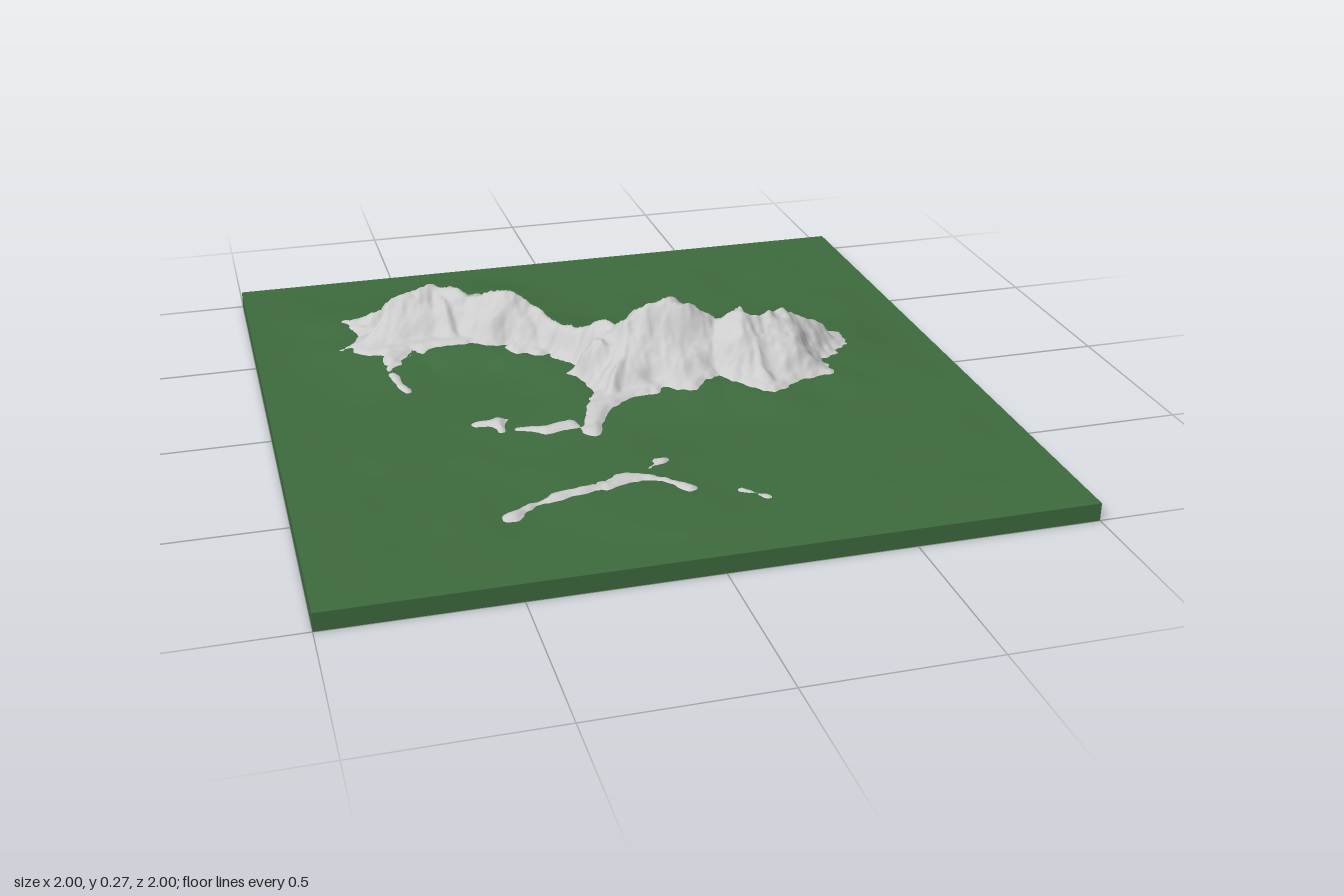
import * as THREE from 'three';

// Outline of the main mountain range (x, z pairs)
const OUTLINE = [
  -0.71, -0.63, -0.6, -0.66, -0.48, -0.68, -0.36, -0.73, -0.27, -0.77, -0.24, -0.74, -0.28, -0.65,
  -0.2, -0.62, -0.21, -0.52, -0.1, -0.45, -0.02, -0.38, -0.03, -0.27, 0, -0.24, 0.07, -0.25,
  0.04, -0.35, 0.13, -0.3, 0.22, -0.31, 0.28, -0.24, 0.33, -0.23, 0.38, -0.3, 0.44, -0.27,
  0.48, -0.22, 0.54, -0.3, 0.58, -0.28, 0.58, -0.19, 0.72, -0.18, 0.74, -0.1, 0.68, 0,
  0.62, 0.02, 0.6, 0.1, 0.5, 0.12, 0.45, 0.16, 0.4, 0.21, 0.34, 0.14, 0.27, 0.06, 0.24, 0.1,
  0.17, 0.13, 0.1, 0.12, 0, 0.16, -0.1, 0.17, -0.12, 0.1, -0.1, 0, -0.14, -0.08, -0.1, -0.12,
  -0.17, -0.2, -0.25, -0.24, -0.27, -0.3, -0.38, -0.31, -0.47, -0.3, -0.56, -0.35, -0.6, -0.25,
  -0.64, -0.22, -0.66, -0.32, -0.73, -0.43, -0.68, -0.5,
];

// Low outcrops: radius, then the points of a centre line
const OUTCROPS = [
  [0.019, -0.46, 0.68, -0.4, 0.64, -0.3, 0.61, -0.2, 0.6],
  [0.026, -0.2, 0.6, -0.1, 0.57, -0.04, 0.6, 0.01, 0.66],
  [0.011, -0.08, 0.54, -0.02, 0.5],
  [0.008, 0.14, 0.7, 0.19, 0.74],
  [0.024, -0.45, 0.16, -0.4, 0.17, -0.39, 0.22],
  [0.022, -0.35, 0.22, -0.28, 0.25, -0.21, 0.24],
  [0.025, -0.15, 0.28, -0.12, 0.21, -0.1, 0.15],
  [0.017, -0.63, -0.2, -0.6, -0.1],
];

// Crest lines as x, z, height triples: the main crest, then its spurs
const RIDGES = [
  [-0.66, -0.43, 0.12, -0.57, -0.5, 0.18, -0.43, -0.53, 0.22, -0.35, -0.45, 0.18, -0.25, -0.39, 0.21,
    -0.17, -0.35, 0.16, -0.1, -0.25, 0.13, -0.01, -0.16, 0.18, 0.03, -0.06, 0.225, 0.14, -0.1, 0.255,
    0.22, -0.09, 0.245, 0.3, -0.07, 0.19, 0.38, -0.03, 0.23, 0.46, -0.03, 0.22, 0.55, -0.08, 0.17, 0.66, -0.1, 0.11],
  [0.14, -0.1, 0.25, 0.1, -0.25, 0.11],
  [0.22, -0.09, 0.24, 0.22, -0.26, 0.1],
  [0.38, -0.03, 0.23, 0.4, -0.23, 0.12],
  [0.5, -0.05, 0.19, 0.55, -0.23, 0.1],
  [0.03, -0.06, 0.22, -0.04, 0.1, 0.1],
  [0.14, -0.1, 0.24, 0.16, 0.06, 0.11],
  [0.41, -0.03, 0.22, 0.4, 0.13, 0.11],
  [0.46, -0.03, 0.21, 0.55, 0.06, 0.1],
  [-0.43, -0.53, 0.22, -0.42, -0.36, 0.12],
  [-0.43, -0.53, 0.21, -0.3, -0.69, 0.09],
  [-0.46, -0.52, 0.21, -0.46, -0.64, 0.12],
  [-0.57, -0.5, 0.18, -0.64, -0.6, 0.1],
  [-0.25, -0.39, 0.2, -0.24, -0.55, 0.11],
];

const { clamp, lerp, smoothstep } = THREE.MathUtils;

// Smooth value noise in -1..1 and layered versions of it
function hash(i, j) {
  const s = Math.sin(i * 127.1 + j * 311.7) * 43758.5453;
  return (s - Math.floor(s)) * 2 - 1;
}
function noise(x, z) {
  const i = Math.floor(x), j = Math.floor(z);
  const u = smoothstep(x - i, 0, 1), v = smoothstep(z - j, 0, 1);
  return lerp(lerp(hash(i, j), hash(i + 1, j), u), lerp(hash(i, j + 1), hash(i + 1, j + 1), u), v);
}
function layered(x, z, freq, octaves, fold = n => n) {
  let sum = 0;
  for (let o = 0, a = 0.5; o < octaves; o++, a *= 0.5, freq *= 2.03) sum += a * fold(noise(x * freq + o * 17, z * freq - o * 9));
  return sum;
}
const sharp = n => 0.6 - 2 * Math.abs(n);

// Distance to a segment and the position t along it
function toSegment(x, z, ax, az, bx, bz) {
  const dx = bx - ax, dz = bz - az;
  const t = clamp(((x - ax) * dx + (z - az) * dz) / (dx * dx + dz * dz), 0, 1);
  return { d: Math.hypot(x - ax - dx * t, z - az - dz * t), t };
}

// Signed distance to the main outline, positive inside
function insideRange(x, z) {
  let best = 9, inside = false;
  const n = OUTLINE.length;
  for (let i = 0; i < n; i += 2) {
    const ax = OUTLINE[i], az = OUTLINE[i + 1], bx = OUTLINE[(i + 2) % n], bz = OUTLINE[(i + 3) % n];
    best = Math.min(best, toSegment(x, z, ax, az, bx, bz).d);
    if ((az > z) !== (bz > z) && x < ax + ((z - az) / (bz - az)) * (bx - ax)) inside = !inside;
  }
  return inside ? best : -best;
}
function insideOutcrops(x, z) {
  let best = -9;
  for (const [r, ...p] of OUTCROPS)
    for (let i = 0; i + 3 < p.length; i += 2)
      best = Math.max(best, r - toSegment(x, z, p[i], p[i + 1], p[i + 2], p[i + 3]).d);
  return best;
}
function ridgeHeight(x, z) {
  let best = 0;
  for (const p of RIDGES)
    for (let i = 0; i + 5 < p.length; i += 3) {
      const { d, t } = toSegment(x, z, p[i], p[i + 1], p[i + 3], p[i + 4]);
      best = Math.max(best, lerp(p[i + 2], p[i + 5], t) - 0.85 * d);
    }
  return best;
}

// Grassy land: flat, rising softly towards the mountains
const hill = (x, z, cx, cz, r) => Math.exp(-((x - cx) ** 2 + (z - cz) ** 2) / (r * r));
function groundHeight(x, z, range) {
  const d = Math.max(0, -range);
  const foot = 0.014 + 0.026 * hill(x, z, -0.4, -0.33, 0.2) + 0.024 * hill(x, z, 0.2, 0.06, 0.17);
  const low = 0.007 * hill(x, z, -0.15, 0.6, 0.2) + 0.008 * hill(x, z, -0.25, 0.2, 0.22);
  const edge = smoothstep(1 - Math.max(Math.abs(x), Math.abs(z)), 0, 0.2);
  return 0.05 + edge * (foot * Math.exp(-((d / 0.11) ** 2)) + low + 0.002 * (1 + noise(x * 7, z * 7)));
}

// Rock surface as a height above (or below) the grass
function rockLift(x, z, range, ground) {
  const ragged = 0.05 * layered(x, z, 13, 4);
  const sd = Math.max(range + ragged, insideOutcrops(x, z) + 0.7 * ragged);
  if (sd <= 0) return sd * 0.5;
  const wx = x + 0.03 * layered(x, z, 9, 2), wz = z + 0.03 * layered(x + 5, z + 3, 9, 2);
  const body = Math.max(0, ridgeHeight(wx, wz) - ground);
  const gullies = layered(x, z, 9, 5, sharp) * (0.012 + 0.17 * body);
  const mask = range > -0.03 ? smoothstep(sd, 0, 0.07) : 0;
  return Math.min(sd * 0.5, 0.01) + Math.max(0, body + gullies) * mask;
}

function buildLand() {
  const geo = new THREE.BoxGeometry(2, 0.05, 2, 110, 1, 110).translate(0, 0.025, 0);
  const p = geo.attributes.position;
  for (let i = 0; i < p.count; i++) {
    if (p.getY(i) < 0.04) continue;
    const x = p.getX(i), z = p.getZ(i);
    p.setY(i, groundHeight(x, z, insideRange(x, z)));
  }
  geo.computeVertexNormals();
  return geo;
}

// Fine grid that keeps only the cells reaching above the grass
function buildRock() {
  const x0 = -0.8, z0 = -0.84, step = 0.0075, nx = 214, nz = 216;
  const pos = [], lift = [], index = [];
  for (let j = 0; j <= nz; j++)
    for (let i = 0; i <= nx; i++) {
      const x = x0 + i * step, z = z0 + j * step;
      const range = insideRange(x, z), ground = groundHeight(x, z, range);
      const l = rockLift(x, z, range, ground);
      lift.push(l);
      pos.push(x, ground + l, z);
    }
  for (let j = 0; j < nz; j++)
    for (let i = 0; i < nx; i++) {
      const a = j * (nx + 1) + i, b = a + 1, c = a + nx + 1, d = c + 1;
      if (Math.max(lift[a], lift[b], lift[c], lift[d]) > 0) index.push(a, c, b, b, c, d);
    }
  const geo = new THREE.BufferGeometry();
  geo.setAttribute('position', new THREE.Float32BufferAttribute(pos, 3));
  geo.setIndex(index);
  geo.computeVertexNormals();
  return geo;
}

export function createModel() {
  const group = new THREE.Group();
  group.name = 'mountainTerrain';
  const land = new THREE.Mesh(buildLand(), new THREE.MeshStandardMaterial({ color: 0x3e6b3e }));
  land.name = 'grassland';
  const rock = new THREE.Mesh(buildRock(), new THREE.MeshStandardMaterial({ color: 0xcccccc }));
  rock.name = 'mountains';
  group.add(land, rock);
  return group;
}
